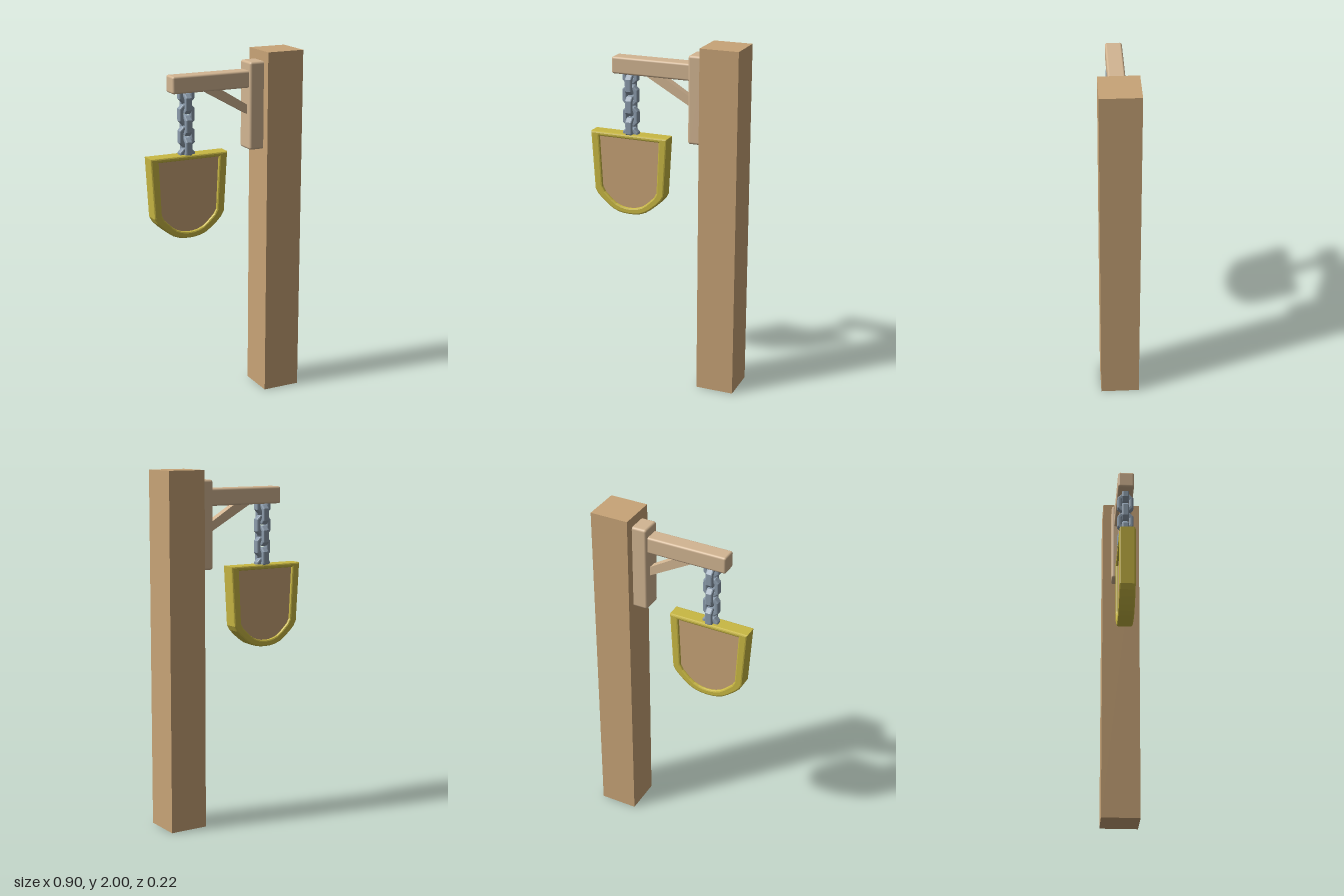
import * as THREE from 'three';
import { RoundedBoxGeometry } from 'three/addons/geometries/RoundedBoxGeometry.js';

const material = (name, color) => {
  const m = new THREE.MeshStandardMaterial({ color });
  m.name = name;
  return m;
};

// Closed shape from its left half (top to bottom), mirrored across x = 0
function mirroredPoints(half) {
  const right = half.filter(([x]) => x !== 0).reverse().map(([x, y]) => [-x, y]);
  return [...half, ...right].map(([x, y]) => new THREE.Vector2(x, y));
}

// Extrusion centred on z = 0 whose bevel stays inside the outline
function slab(shape, depth, bevel) {
  const g = new THREE.ExtrudeGeometry(shape, {
    depth: depth - 2 * bevel, bevelEnabled: bevel > 0, bevelSize: bevel,
    bevelThickness: bevel, bevelOffset: -bevel, bevelSegments: 2,
  });
  return g.translate(0, 0, -depth / 2 + bevel);
}

function octagon(w, h, cut) {
  return mirroredPoints([[-w + cut, h], [-w, h - cut], [-w, -h + cut], [-w + cut, -h]]);
}

export function createModel() {
  const model = new THREE.Group();
  model.name = 'hangingSignPost';
  const postWood = material('post wood', 0xc8a477);
  const paleWood = material('pale wood', 0xd2b592);
  const steel = material('chain steel', 0x8c9cac);
  const gold = material('gold trim', 0xc9b843);

  const add = (name, geometry, mat, x = 0, y = 0, z = 0, parent = model) => {
    const mesh = new THREE.Mesh(geometry, mat);
    mesh.name = name;
    mesh.position.set(x, y, z);
    parent.add(mesh);
    return mesh;
  };

  // Post, wall plate and arm
  add('post', new THREE.BoxGeometry(0.22, 2, 0.22), postWood, 0.34, 1, 0);
  add('mountingPlate', new RoundedBoxGeometry(0.1, 0.495, 0.122, 2, 0.014), paleWood, 0.195, 1.6975, 0);
  add('arm', new RoundedBoxGeometry(0.485, 0.096, 0.093, 2, 0.012), paleWood, -0.0725, 1.848, 0);

  // Diagonal brace, with its ends buried in the arm and plate
  const brace = new THREE.Shape([[-0.155, 1.82], [0.16, 1.643], [0.16, 1.695], [-0.045, 1.82]]
    .map(([x, y]) => new THREE.Vector2(x, y)));
  add('brace', slab(brace, 0.045, 0), paleWood);

  // Chain of alternately turned octagonal links
  const signX = -0.218;
  const chain = new THREE.Group();
  chain.name = 'chain';
  chain.position.x = signX;
  model.add(chain);
  const linkShape = new THREE.Shape(octagon(0.046, 0.056, 0.022));
  linkShape.holes.push(new THREE.Path(octagon(0.021, 0.031, 0.01).reverse()));
  const linkGeometry = slab(linkShape, 0.04, 0.007);
  for (let i = 0; i < 7; i++) {
    const link = add('chainLink', linkGeometry, steel, 0, 1.8 - i * 0.061, 0, chain);
    link.rotation.y = (i % 2) * Math.PI / 2;
  }

  // Shield-shaped sign: rim with a recessed board showing on both sides
  const outer = mirroredPoints([[-0.233, 1.456], [-0.213, 1.115], [-0.197, 1.086],
    [-0.168, 1.056], [-0.132, 1.026], [-0.1, 1.004], [-0.067, 0.991], [-0.034, 0.985], [0, 0.983]]);
  const inner = mirroredPoints([[-0.182, 1.43], [-0.167, 1.13], [-0.152, 1.102],
    [-0.106, 1.058], [-0.08, 1.039], [-0.053, 1.028], [-0.027, 1.022], [0, 1.02]]);
  const rim = new THREE.Shape(outer);
  rim.holes.push(new THREE.Path(inner.slice().reverse()));
  add('signRim', slab(rim, 0.09, 0.009), gold, signX);
  const board = new THREE.Shape(inner.map((p) => new THREE.Vector2(p.x * 1.03, 1.225 + (p.y - 1.225) * 1.03)));
  add('signBoard', slab(board, 0.062, 0), postWood, signX);

  return model;
}
